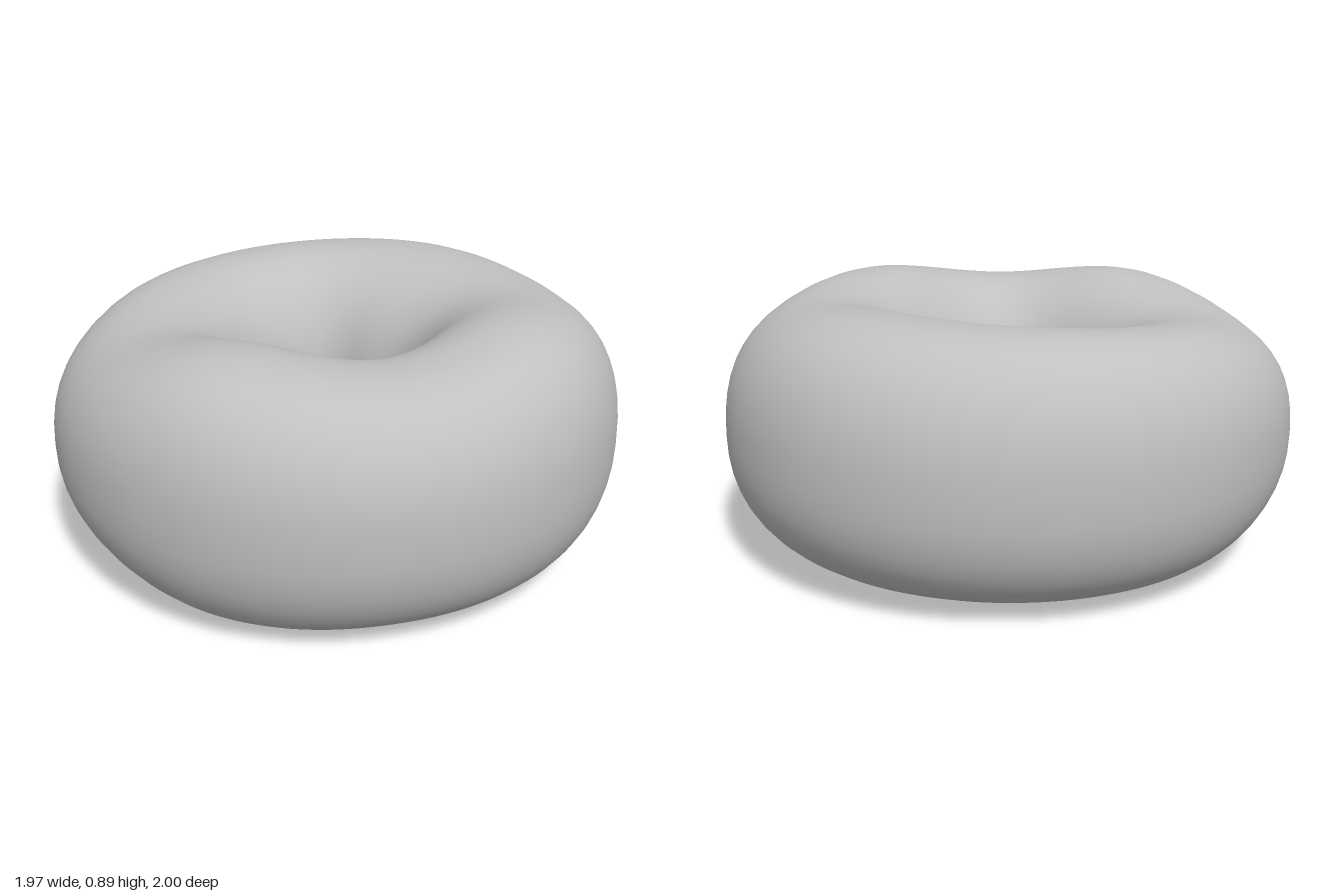
import * as THREE from 'three';
import { mergeVertices } from 'three/addons/utils/BufferGeometryUtils.js';

// Measurements at eight directions, from +x turning through +z
const OUTER = [0.985, 0.98, 0.998, 1.0, 0.987, 0.985, 1.0, 0.99];
const INNER = [0.243, 0.26, 0.26, 0.255, 0.275, 0.28, 0.208, 0.215];
const TOP = [0.89, 0.835, 0.875, 0.795, 0.83, 0.865, 0.88, 0.85];
const BOTTOM = [0.02, 0.005, 0.0, 0.075, 0.03, 0.02, 0.03, 0.055];
const CREST = [0.64, 0.62, 0.63, 0.61, 0.66, 0.64, 0.63, 0.62];

// Smooth closed interpolation through the eight values
function around(values, angle) {
  const n = values.length;
  const t = ((angle / (Math.PI * 2)) * n + n) % n;
  const i = Math.floor(t), f = t - i;
  const [a, b, c, d] = [-1, 0, 1, 2].map((k) => values[(i + k + n) % n]);
  return b + 0.5 * f * (c - a + f * (2 * a - 5 * b + 4 * c - d + f * (3 * (b - c) + d - a)));
}

// Rounded-square version of sine and cosine
const swell = (v, power) => Math.sign(v) * Math.pow(Math.abs(v), power);

export function createModel() {
  const group = new THREE.Group();
  group.name = 'ring';
  const grey = new THREE.MeshStandardMaterial({ color: 0xc0c0c0 });
  grey.name = 'plain grey';

  // Plump uneven ring: a torus whose section changes with direction
  const sides = 48, steps = 128;
  let geometry = new THREE.TorusGeometry(1, 0.4, sides, steps);
  const position = geometry.attributes.position;
  for (let j = 0; j <= sides; j++) {
    const v = ((j % sides) / sides) * Math.PI * 2;
    const c = Math.cos(v), s = Math.sin(v);
    const power = c > 0 ? 0.86 : 0.97;
    for (let i = 0; i <= steps; i++) {
      const u = ((i % steps) / steps) * Math.PI * 2;
      const angle = (Math.PI * 2 - u) % (Math.PI * 2);
      const crest = around(CREST, angle);
      const reach = c > 0 ? around(OUTER, angle) - crest : crest - around(INNER, angle);
      const r = crest + reach * swell(c, power);
      const middle = 0.42;
      const rise = s > 0 ? around(TOP, angle) - middle : middle - around(BOTTOM, angle);
      const y = middle + rise * swell(s, power);
      position.setXYZ(j * (steps + 1) + i, r * Math.cos(angle), y, r * Math.sin(angle));
    }
  }
  // Weld the seams so the shading stays smooth
  geometry.deleteAttribute('uv');
  geometry.deleteAttribute('normal');
  geometry = mergeVertices(geometry, 1e-5);
  geometry.computeVertexNormals();

  const ring = new THREE.Mesh(geometry, grey);
  ring.name = 'ringBody';
  group.add(ring);
  return group;
}
